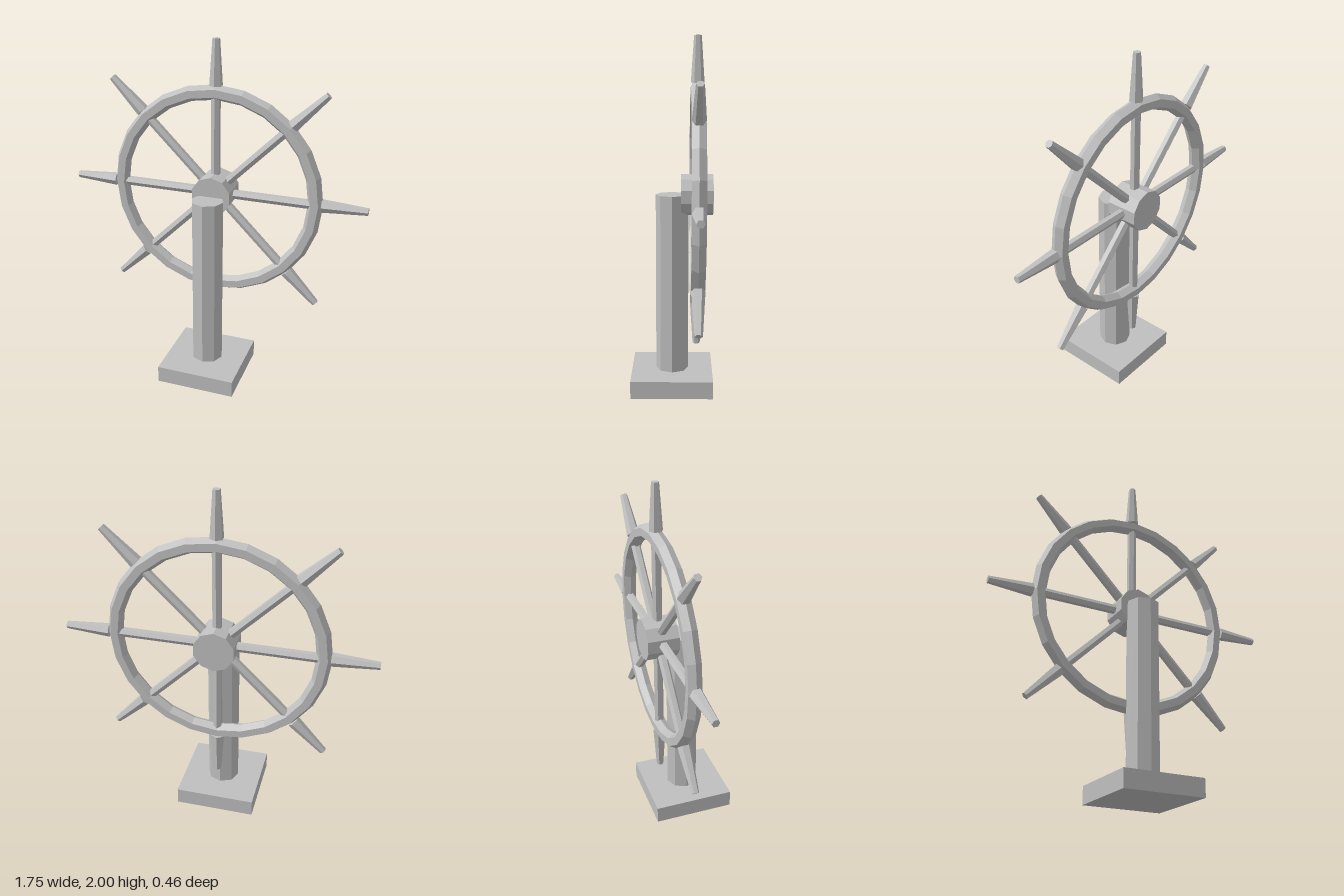
import * as THREE from 'three';

export function createModel() {
  const model = new THREE.Group();
  model.name = 'steeringWheelOnPost';

  const grey = new THREE.MeshStandardMaterial({ color: 0xbfbfbf });
  grey.name = 'grey';
  grey.flatShading = true;

  function part(name, geometry, parent = model) {
    const mesh = new THREE.Mesh(geometry, grey);
    mesh.name = name;
    parent.add(mesh);
    return mesh;
  }

  // Square base and octagonal post
  part('base', new THREE.BoxGeometry(0.464, 0.1, 0.464).translate(0, 0.05, 0));
  part('post', new THREE.CylinderGeometry(0.093, 0.093, 1.025, 8).translate(0, 0.6125, 0));

  // Wheel, mounted behind the top of the post
  const wheel = new THREE.Group();
  wheel.name = 'wheel';
  wheel.position.set(0, 1.125, -0.14);
  model.add(wheel);

  part('hub', new THREE.CylinderGeometry(0.117, 0.117, 0.18, 10).rotateX(Math.PI / 2), wheel);
  part('rim', new THREE.TorusGeometry(0.584, 0.043, 6, 24), wheel);

  // Eight spokes, each with a tapered handle outside the rim
  const spokeGeometry = new THREE.CylinderGeometry(0.027, 0.027, 0.56, 6).translate(0, 0.3, 0);
  const handleGeometry = new THREE.CylinderGeometry(0.021, 0.038, 0.255, 6).translate(0, 0.7475, 0);
  for (let i = 0; i < 8; i++) {
    const angle = (i * Math.PI) / 4;
    part('spoke', spokeGeometry, wheel).rotation.z = angle;
    part('handle', handleGeometry, wheel).rotation.z = angle;
  }

  return model;
}
